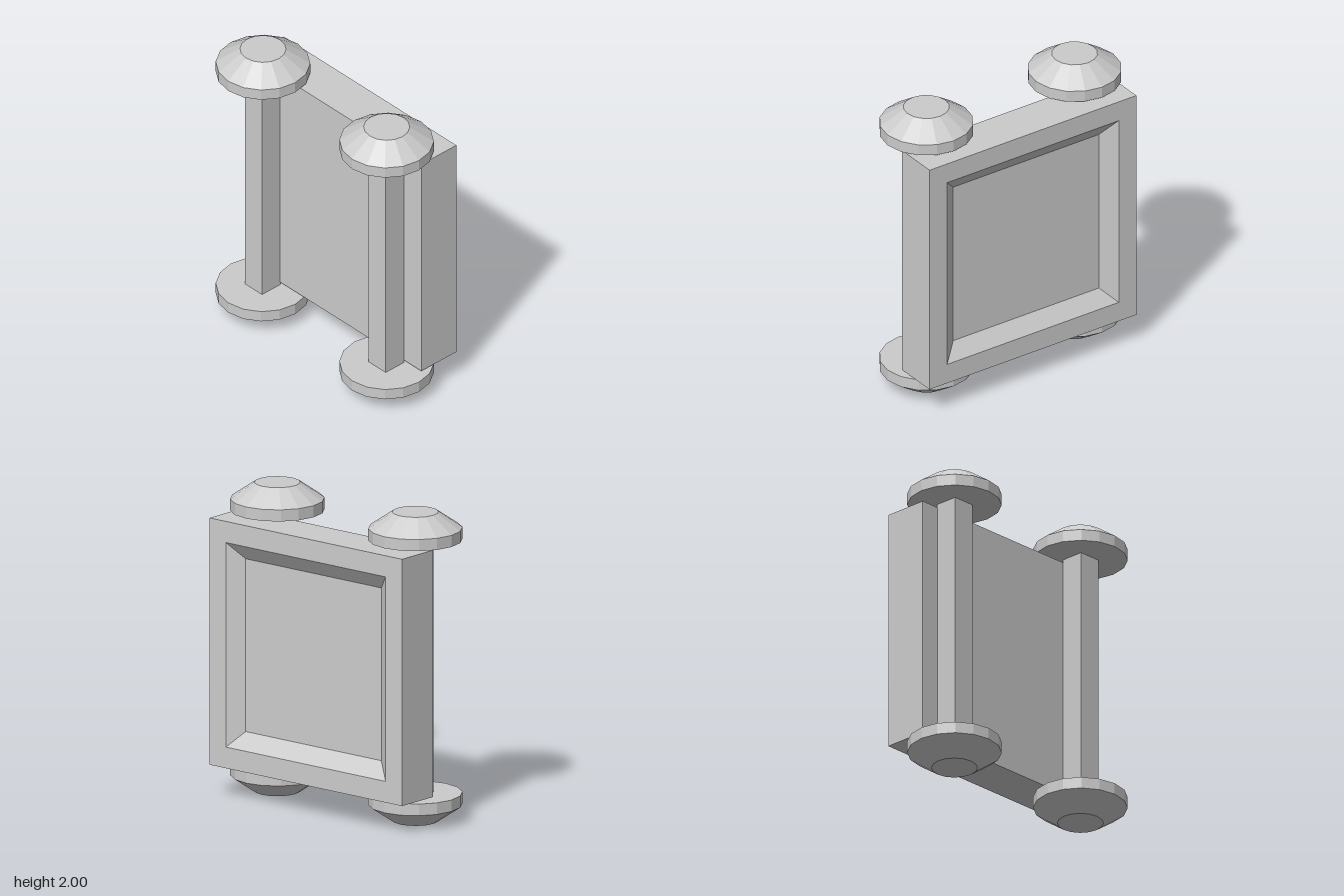
import * as THREE from 'three';

const material = new THREE.MeshStandardMaterial({ color: 0xcccccc, flatShading: true });

function addMesh(parent, name, geometry, x, y, z) {
  const mesh = new THREE.Mesh(geometry, material);
  mesh.name = name;
  mesh.position.set(x, y, z);
  parent.add(mesh);
  return mesh;
}

// Closed solid through rectangular loops [halfWidth, halfHeight, z], front to back
function rectangleLoft(loops) {
  const corners = [[-1, -1], [1, -1], [1, 1], [-1, 1]];
  const positions = [];
  const index = [0, 1, 2, 0, 2, 3];
  loops.forEach(([w, h, z], k) => {
    corners.forEach(([sx, sy]) => positions.push(sx * w, sy * h, z));
    if (k === 0) return;
    for (let i = 0; i < 4; i++) {
      const j = (i + 1) % 4;
      const a = (k - 1) * 4, b = k * 4;
      index.push(a + i, b + i, b + j, a + i, b + j, a + j);
    }
  });
  const e = (loops.length - 1) * 4;
  index.push(e, e + 2, e + 1, e, e + 3, e + 2);
  const indexed = new THREE.BufferGeometry();
  indexed.setAttribute('position', new THREE.Float32BufferAttribute(positions, 3));
  indexed.setIndex(index);
  const geometry = indexed.toNonIndexed();
  geometry.computeVertexNormals();
  return geometry;
}

export function createModel() {
  const model = new THREE.Group();
  model.name = 'panelWithPosts';

  // Thick panel with a bevelled recess in its back
  addMesh(model, 'panel', rectangleLoft([
    [0.795, 0.8, 0.15],
    [0.795, 0.8, -0.15],
    [0.66, 0.663, -0.15],
    [0.56, 0.56, -0.075],
  ]), 0.015, 1, -0.187);

  // Faceted cap profiles: flat rim, then a slope to a small flat end
  const topProfile = [[0, 1.82], [0.297, 1.82], [0.297, 1.895], [0.145, 2], [0, 2]];
  const bottomProfile = topProfile.map(([r, y]) => [r, 2 - y]).reverse();
  const capGeometry = (profile) =>
    new THREE.LatheGeometry(profile.map(([r, y]) => new THREE.Vector2(r, y)), 16);
  const topCap = capGeometry(topProfile);
  const bottomCap = capGeometry(bottomProfile);
  const post = new THREE.BoxGeometry(0.157, 1.64, 0.157);

  // Square posts with a cap at each end
  for (const [side, x] of [['left', 0.57], ['right', -0.57]]) {
    const group = new THREE.Group();
    group.name = side + 'Post';
    group.position.set(x, 0, 0.037);
    addMesh(group, side + 'Shaft', post, 0, 1, 0.003);
    addMesh(group, side + 'TopCap', topCap, 0, 0, 0);
    addMesh(group, side + 'BottomCap', bottomCap, 0, 0, 0);
    model.add(group);
  }
  return model;
}
